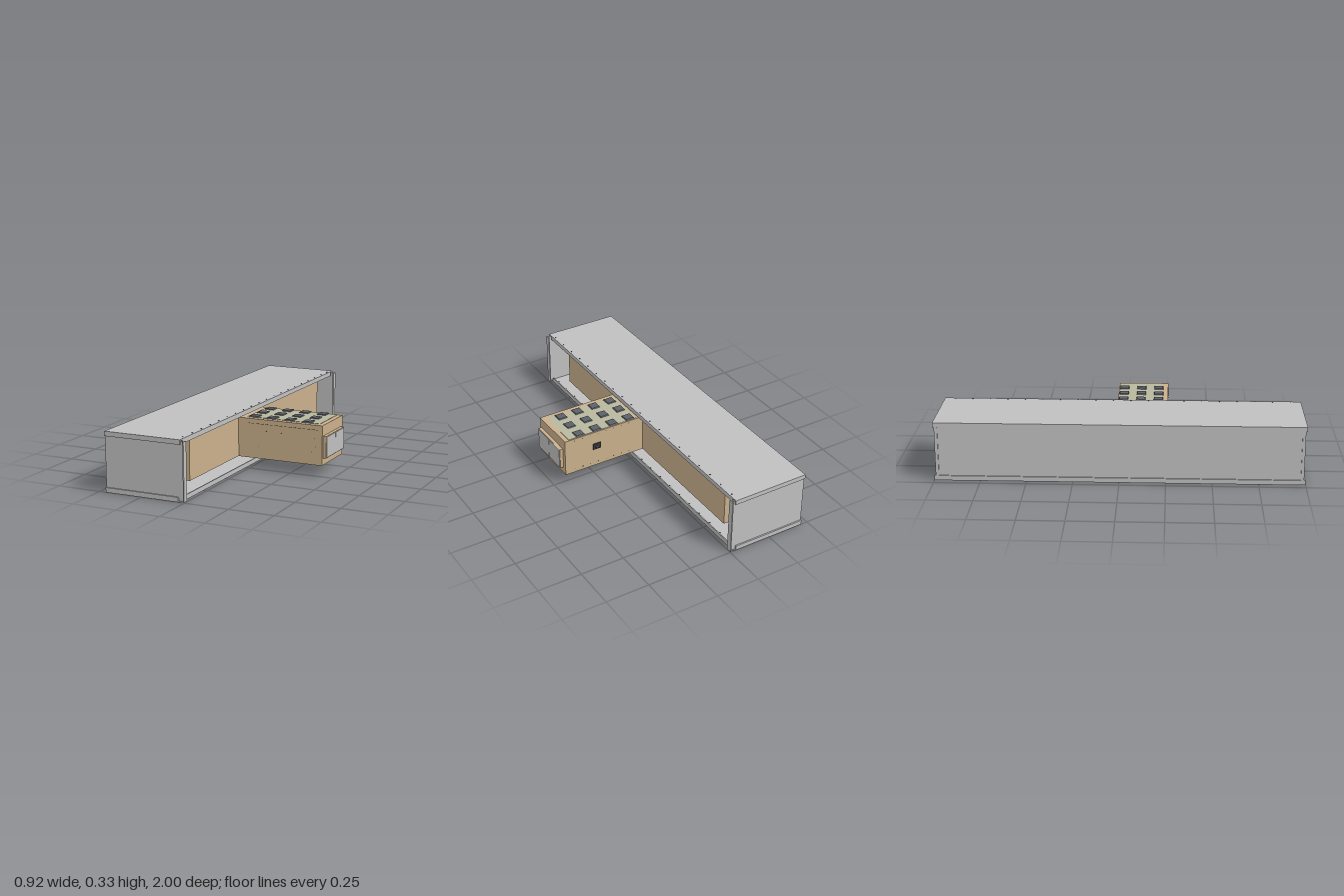
import * as THREE from 'three';

const material = (name, color) => {
  const m = new THREE.MeshStandardMaterial({ color });
  m.name = name;
  return m;
};

export function createModel() {
  const model = new THREE.Group();
  model.name = 'channelHousingWithEquipment';
  const metal = material('grey metal', 0xc0c0c0);
  const tan = material('tan', 0xcbb08c);
  const khaki = material('khaki', 0xb8b8a0);
  const slate = material('dark slate', 0x5c6068);
  const dark = material('near black', 0x38383a);
  const pale = material('pale grey', 0xbfbfc0);

  // Box given by its lower and upper bounds on each axis
  const block = (parent, name, mat, [x0, x1], [y0, y1], [z0, z1]) => {
    const mesh = new THREE.Mesh(new THREE.BoxGeometry(x1 - x0, y1 - y0, z1 - z0), mat);
    mesh.position.set((x0 + x1) / 2, (y0 + y1) / 2, (z0 + z1) / 2);
    mesh.name = name;
    parent.add(mesh);
    return mesh;
  };
  const group = (name) => {
    const g = new THREE.Group();
    g.name = name;
    model.add(g);
    return g;
  };

  // Housing: folded sheet channel, open towards +x
  const housing = group('housing');
  block(housing, 'roofPanel', metal, [-0.462, -0.02], [0.32, 0.327], [-1, 1]);
  block(housing, 'floorPanel', metal, [-0.462, -0.02], [0, 0.006], [-1, 1]);
  block(housing, 'backWall', metal, [-0.455, -0.449], [0.006, 0.32], [-0.99, 0.99]);
  for (const [label, y0, y1, x1] of [['roof', 0.301, 0.32, -0.02], ['floor', 0.006, 0.026, -0.035]]) {
    block(housing, label + 'BackLip', metal, [-0.462, -0.455], [y0, y1], [-1, 1]);
    block(housing, label + 'OpeningLip', metal, [-0.026, -0.02], [y0, y1], [-0.97, 0.97]);
    for (const s of [-1, 1]) {
      const z = [s * 0.992, s].sort((a, b) => a - b);
      block(housing, label + 'EndLip', metal, [-0.455, x1], [y0, y1], z);
    }
  }
  for (const s of [-1, 1]) {
    const span = (a, b) => [s * a, s * b].sort((p, q) => p - q);
    block(housing, 'endPanel', metal, [-0.455, -0.006], [0.003, 0.317], span(0.986, 0.992));
    block(housing, 'endFlange', metal, [-0.006, 0], [0.003, 0.317], span(0.97, 1));
    block(housing, 'backCornerPost', metal, [-0.462, -0.455], [0.026, 0.301], span(0.975, 0.992));
  }

  // Rivets along the opening edges of the roof and floor
  const rivets = group('rivets');
  for (let i = 0; i < 20; i++) {
    const z = -0.94 + i * 0.099;
    block(rivets, 'roofRivet', dark, [-0.037, -0.031], [0.327, 0.329], [z - 0.003, z + 0.003]);
    block(rivets, 'floorRivet', dark, [-0.047, -0.041], [0.006, 0.008], [z - 0.003, z + 0.003]);
  }

  // Long case inside the channel
  const longCase = group('longCase');
  block(longCase, 'caseBody', tan, [-0.42, -0.06], [0.065, 0.285], [-0.85, 0.827]);
  for (const z of [-0.37, 0.445]) {
    block(longCase, 'topPad', slate, [-0.2, -0.13], [0.285, 0.29], [z - 0.035, z + 0.035]);
  }
  block(longCase, 'endLatch', dark, [-0.2, -0.14], [0.235, 0.26], [-0.868, -0.85]);
  block(longCase, 'endPlate', dark, [-0.24, -0.14], [0.075, 0.19], [0.827, 0.835]);

  // Side case that juts out through the opening
  const sideCase = group('sideCase');
  block(sideCase, 'caseBody', tan, [-0.06, 0.44], [0.065, 0.285], [-0.03, 0.257]);
  block(sideCase, 'topPanel', khaki, [-0.02, 0.413], [0.285, 0.287], [-0.024, 0.226]);
  block(sideCase, 'bottomPanel', khaki, [-0.06, 0.438], [0.063, 0.065], [-0.028, 0.255]);
  block(sideCase, 'frontSeam', dark, [0, 0.415], [0.258, 0.2595], [0.257, 0.2578]);

  // Grid of square pads on the top, slightly tapered
  for (let i = 0; i < 4; i++) {
    for (let j = 0; j < 3; j++) {
      const pad = new THREE.Mesh(new THREE.CylinderGeometry(0.034, 0.039, 0.007, 4), slate);
      pad.geometry.rotateY(Math.PI / 4);
      pad.geometry = pad.geometry.toNonIndexed();
      pad.geometry.computeVertexNormals();
      pad.position.set(0.018 + i * 0.106, 0.289, 0.002 + j * 0.1);
      pad.name = 'topPad';
      sideCase.add(pad);
    }
  }

  // Raised door on the outer end with two pale panels
  block(sideCase, 'doorFrame', tan, [0.44, 0.459], [0.104, 0.226], [-0.005, 0.246]);
  for (const [z0, z1] of [[0, 0.119], [0.121, 0.241]]) {
    block(sideCase, 'doorPanel', pale, [0.459, 0.462], [0.107, 0.223], [z0, z1]);
  }
  block(sideCase, 'doorGap', dark, [0.459, 0.46], [0.107, 0.223], [0.119, 0.121]);

  // Latch on the rear face
  block(sideCase, 'latchPlate', dark, [0.215, 0.265], [0.175, 0.21], [-0.036, -0.03]);
  block(sideCase, 'latchKnob', slate, [0.23, 0.25], [0.185, 0.197], [-0.044, -0.036]);

  // Small screws on the front and rear faces
  for (let i = 0; i < 8; i++) {
    const x = 0.03 + i * 0.05;
    for (const y of [0.085, 0.272]) {
      block(sideCase, 'rearScrew', dark, [x - 0.002, x + 0.002], [y - 0.002, y + 0.002], [-0.031, -0.03]);
    }
  }
  for (const [x, y] of [[0.06, 0.13], [0.11, 0.22], [0.2, 0.218], [0.38, 0.135], [0.4, 0.165], [0.395, 0.21]]) {
    block(sideCase, 'frontScrew', dark, [x - 0.002, x + 0.002], [y - 0.002, y + 0.002], [0.257, 0.258]);
  }
  return model;
}
